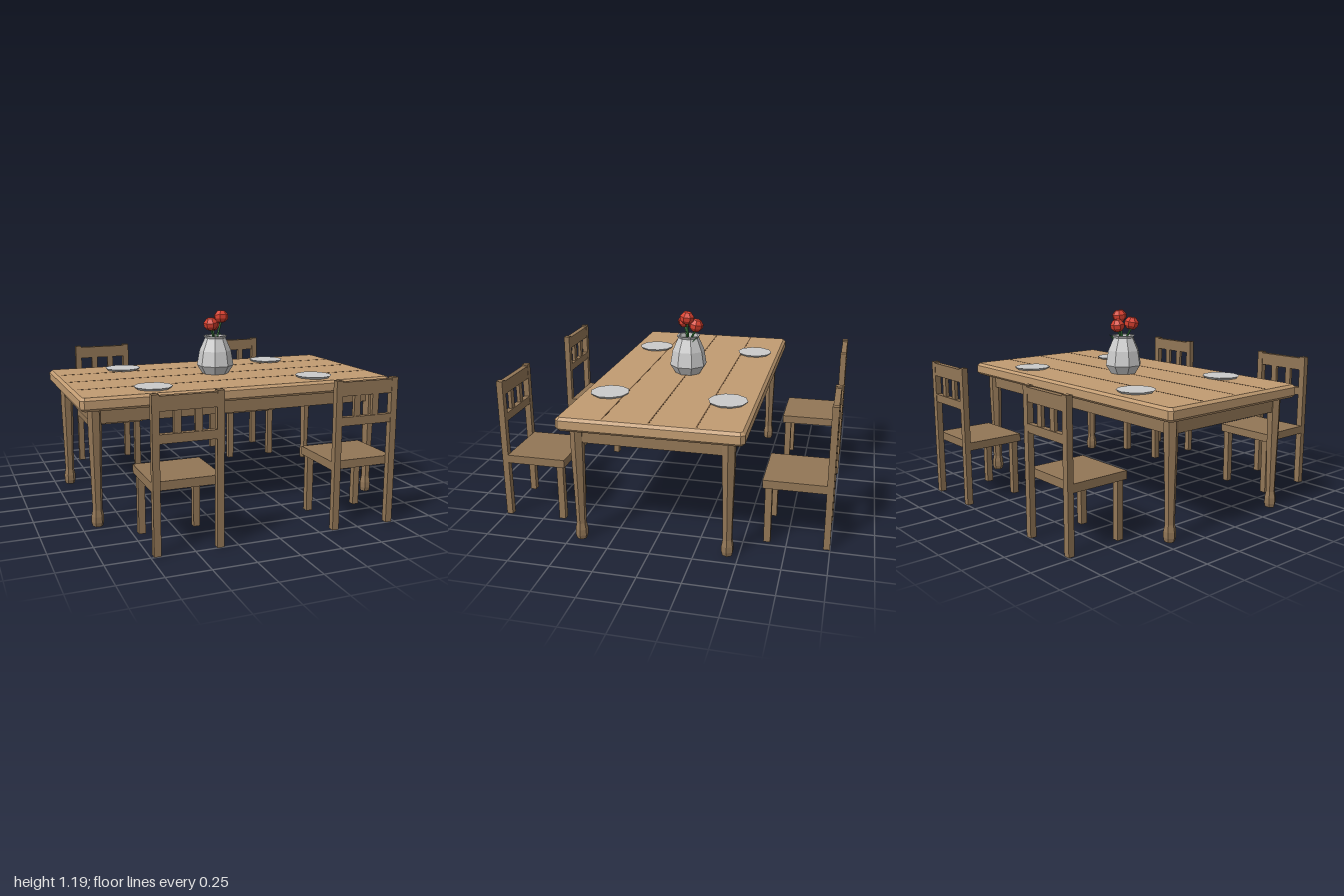
import * as THREE from 'three';

const paint = (color, side = THREE.FrontSide) =>
  new THREE.MeshStandardMaterial({ color, side, flatShading: true });
const oak = paint(0xc29c72);
const darkOak = paint(0x927656);
const groove = paint(0x6b5138);
const grey = paint(0xcccccc);
const greyOpen = paint(0xcccccc, THREE.DoubleSide);
const red = paint(0xd8402f);
const green = paint(0x3f8a45, THREE.DoubleSide);

function add(parent, name, geometry, material, x = 0, y = 0, z = 0) {
  const mesh = new THREE.Mesh(geometry, material);
  mesh.name = name;
  mesh.position.set(x, y, z);
  parent.add(mesh);
  return mesh;
}
const box = (parent, name, material, w, h, d, x, y, z) =>
  add(parent, name, new THREE.BoxGeometry(w, h, d), material, x, y, z);
const lathe = (profile, sides) =>
  new THREE.LatheGeometry(profile.map(([r, y]) => new THREE.Vector2(r, y)), sides);

function createTable() {
  const table = new THREE.Group();
  table.name = 'table';

  // Bevelled top with clipped corners
  const bevel = 0.016, w = 1 - bevel, d = 0.532 - bevel, c = 0.012;
  const outline = new THREE.Shape([
    [w, c - d], [w, d - c], [w - c, d], [c - w, d],
    [-w, d - c], [-w, c - d], [c - w, -d], [w - c, -d],
  ].map(([x, y]) => new THREE.Vector2(x, y)));
  const top = new THREE.ExtrudeGeometry(outline, {
    depth: 0.08 - 2 * bevel, bevelThickness: bevel, bevelSize: bevel, bevelSegments: 1,
  });
  top.rotateX(-Math.PI / 2);
  add(table, 'tableTop', top, oak, 0, 0.70 + bevel, 0);

  // Dark seams between the planks
  for (const z of [-0.266, 0, 0.266])
    box(table, 'plankSeam', groove, 1.93, 0.004, 0.008, 0, 0.779, z);

  // Apron frame
  for (const s of [-1, 1]) {
    box(table, 'longApron', darkOak, 1.81, 0.09, 0.03, 0, 0.657, s * 0.435);
    box(table, 'shortApron', darkOak, 0.03, 0.09, 0.87, s * 0.905, 0.657, 0);
  }

  // Six-sided turned legs with a swelling foot
  const leg = lathe([[0, 0], [0.031, 0], [0.037, 0.025], [0.037, 0.06], [0.029, 0.1],
    [0.033, 0.3], [0.04, 0.55], [0.041, 0.705], [0, 0.705]], 6);
  leg.rotateY(Math.PI / 2);
  for (const x of [-0.904, 0.904])
    for (const z of [-0.435, 0.435]) add(table, 'tableLeg', leg, darkOak, x, 0, z);
  return table;
}

// Chair with its back on the +z side
function createChair() {
  const chair = new THREE.Group();
  chair.name = 'chair';
  box(chair, 'seat', darkOak, 0.397, 0.05, 0.365, 0, 0.375, -0.0175);
  for (const s of [-1, 1]) {
    box(chair, 'backPost', darkOak, 0.04, 0.87, 0.038, s * 0.1785, 0.435, 0.181);
    box(chair, 'frontLeg', darkOak, 0.04, 0.36, 0.04, s * 0.1645, 0.18, -0.165);
    box(chair, 'backSlat', darkOak, 0.04, 0.14, 0.022, s * 0.059, 0.72, 0.181);
  }
  box(chair, 'topRail', darkOak, 0.32, 0.08, 0.034, 0, 0.821, 0.181);
  box(chair, 'lowerRail', darkOak, 0.32, 0.05, 0.034, 0, 0.635, 0.181);
  return chair;
}

function createVase() {
  const vase = new THREE.Group();
  vase.name = 'vaseOfFlowers';

  // Eight-sided hollow vase, outer wall then inner wall
  const body = lathe([[0, 0], [0.085, 0], [0.12, 0.055], [0.104, 0.15], [0.073, 0.22],
    [0.068, 0.232], [0.077, 0.248], [0.062, 0.248], [0.058, 0.225], [0.085, 0.15], [0, 0.13]], 8);
  body.rotateY(Math.PI / 8);
  add(vase, 'vase', body, greyOpen, 0, 0.78, 0);

  // Blooms on curved stems
  const bloom = lathe([[0, -0.04], [0.026, -0.037], [0.045, -0.015], [0.047, 0.01],
    [0.026, 0.037], [0, 0.04]], 7);
  const spots = [[-0.043, 1.108, 0.032], [0.04, 1.15, 0], [0, 1.094, -0.05]];
  spots.forEach(([x, y, z], i) => {
    const path = new THREE.QuadraticBezierCurve3(
      new THREE.Vector3(-x * 0.3, 0.92, -z * 0.3),
      new THREE.Vector3(x * 0.35, 1.02, z * 0.35),
      new THREE.Vector3(x, y - 0.03, z));
    add(vase, 'stem', new THREE.TubeGeometry(path, 5, 0.007, 5), green);
    const flower = add(vase, 'flower', bloom, red, x, y, z);
    flower.rotation.set(z * 3, i * 1.3, -x * 3);
  });

  // Pointed leaf bending over the rim
  const blade = new THREE.Shape();
  blade.moveTo(0, 0);
  blade.lineTo(0.016, 0.035);
  blade.lineTo(0, 0.08);
  blade.lineTo(-0.016, 0.035);
  const leaf = add(vase, 'leaf', new THREE.ShapeGeometry(blade), green, 0.025, 0.985, -0.02);
  leaf.quaternion.setFromUnitVectors(
    new THREE.Vector3(0, 1, 0), new THREE.Vector3(0.5, 0.55, -0.6).normalize());
  return vase;
}

export function createModel() {
  const model = new THREE.Group();
  model.name = 'diningSet';
  model.add(createTable(), createVase());

  // One chair and one plate per place
  const plate = new THREE.CylinderGeometry(0.118, 0.105, 0.014, 10);
  for (const x of [-0.533, 0.533])
    for (const s of [-1, 1]) {
      const chair = createChair();
      chair.position.set(x, 0, s * 0.8);
      if (s < 0) chair.rotation.y = Math.PI;
      model.add(chair);
      add(model, 'plate', plate, grey, x, 0.786, s * 0.36);
    }
  return model;
}
